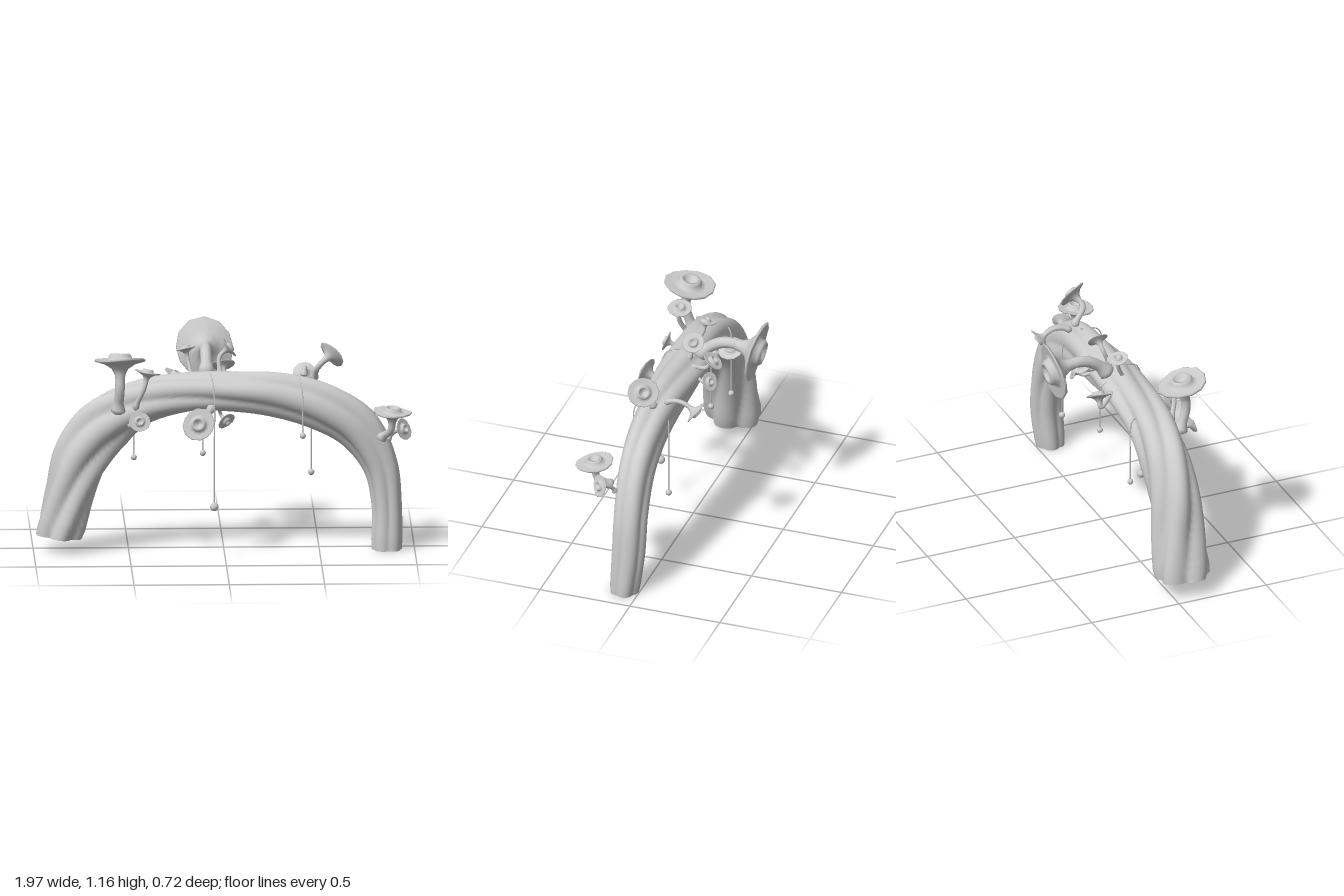
import * as THREE from 'three';

const V = (x, y, z) => new THREE.Vector3(x, y, z);
const material = new THREE.MeshStandardMaterial({ color: 0xcccccc, side: THREE.DoubleSide });

function mesh(geometry, name) {
  const m = new THREE.Mesh(geometry, material);
  m.name = name;
  return m;
}

// Smooth skin over closed rings of points, with flat caps on both ends
function loft(rings) {
  const n = rings[0].length, pos = [], idx = [];
  const add = (p) => pos.push(p.x, p.y, p.z) / 3 - 1;
  rings.forEach((r) => r.forEach(add));
  for (let i = 0; i < rings.length - 1; i++) {
    for (let j = 0; j < n; j++) {
      const k = (j + 1) % n, a = i * n, b = a + n;
      idx.push(a + j, a + k, b + j, b + j, a + k, b + k);
    }
  }
  [[rings[0], true], [rings[rings.length - 1], false]].forEach(([ring, start]) => {
    const c = ring.reduce((s, p) => s.add(p), V(0, 0, 0)).divideScalar(n);
    const ci = add(c), first = pos.length / 3;
    ring.forEach(add);
    for (let j = 0; j < n; j++) {
      const k = (j + 1) % n;
      idx.push(ci, first + (start ? k : j), first + (start ? j : k));
    }
  });
  const g = new THREE.BufferGeometry();
  g.setAttribute('position', new THREE.Float32BufferAttribute(pos, 3));
  g.setIndex(idx);
  g.computeVertexNormals();
  return g;
}

// Arched trunk: centre x, y, z, then half thickness, half depth, groove depth
const stations = [
  [-0.87, 0.09, 0.08, 0.128, 0.157, 0.24], [-0.81, 0.32, 0.08, 0.13, 0.145, 0.25],
  [-0.74, 0.52, 0.08, 0.15, 0.133, 0.25], [-0.63, 0.68, 0.08, 0.152, 0.128, 0.24],
  [-0.46, 0.79, 0.08, 0.12, 0.123, 0.22], [-0.2, 0.845, 0.07, 0.105, 0.12, 0.2],
  [0.05, 0.85, 0.07, 0.105, 0.12, 0.18], [0.3, 0.83, 0.07, 0.12, 0.105, 0.18],
  [0.52, 0.77, 0.075, 0.128, 0.1, 0.18], [0.7, 0.66, 0.07, 0.123, 0.095, 0.18],
  [0.82, 0.46, 0.06, 0.094, 0.09, 0.18], [0.855, 0.25, 0.06, 0.08, 0.089, 0.18],
  [0.855, 0.005, 0.08, 0.083, 0.078, 0.16],
];

function trunk() {
  const path = new THREE.CatmullRomCurve3(stations.map((s) => V(s[0], s[1], s[2])));
  const size = new THREE.CatmullRomCurve3(stations.map((s) => V(s[3], s[4], s[5])));
  const rings = [], steps = 60, sides = 60;
  for (let i = 0; i <= steps; i++) {
    const t = i / steps, c = path.getPoint(t), s = size.getPoint(t), tan = path.getTangent(t);
    // The left foot is cut nearly level
    const normal = V(-tan.y, tan.x * Math.min(1, 0.45 + t * 8), 0).normalize();
    const twist = 0.4 + 5.5 * t - 2.5 * t * t;
    const shrink = i === 0 || i === steps ? 0.95 : 1;
    const ring = [];
    for (let j = 0; j < sides; j++) {
      const a = (j / sides) * Math.PI * 2;
      const r = shrink * (1.03 - s.z + s.z * Math.abs(Math.cos(2.5 * (a - twist))));
      ring.push(c.clone().addScaledVector(normal, Math.cos(a) * r * s.x).add(V(0, 0, Math.sin(a) * r * s.y)));
    }
    rings.push(ring);
  }
  return mesh(loft(rings), 'twistedTrunk');
}

// Trumpet head, unit rim radius, opening along +y, with a hollow raised centre
const capProfile = [
  [0.18, -0.8], [0.21, -0.55], [0.32, -0.33], [0.6, -0.15], [0.97, -0.05], [1, 0.02], [0.95, 0.05],
  [0.65, -0.01], [0.48, 0.02], [0.45, 0.17], [0.38, 0.26], [0.28, 0.25], [0.2, 0.06], [0, 0],
].map((p) => new THREE.Vector2(...p));

function trumpet(base, centre, direction, radius, index) {
  const group = new THREE.Group();
  group.name = 'trumpetFlower';
  const dir = V(...direction).normalize(), top = V(...centre), foot = V(...base);

  const head = new THREE.LatheGeometry(capProfile, 12);
  const p = head.attributes.position;
  for (let i = 0; i < p.count; i++) {
    const x = p.getX(i), z = p.getZ(i), r = Math.hypot(x, z);
    const wave = 0.05 * r * r * Math.sin(2 * Math.atan2(z, x) + index);
    p.setXYZ(i, x * (1 + wave), p.getY(i) + wave, z * (1 + wave));
  }
  const cap = mesh(head, 'flowerHead');
  cap.scale.setScalar(radius);
  cap.position.copy(top);
  cap.quaternion.setFromUnitVectors(V(0, 1, 0), dir);

  // Curved stem, swollen at the foot
  const neck = top.clone().addScaledVector(dir, -0.75 * radius);
  const len = neck.distanceTo(foot);
  const rise = foot.clone().lerp(neck, 0.2).add(V(0, 0.15 * len, 0));
  const curve = new THREE.CubicBezierCurve3(foot, rise, neck.clone().addScaledVector(dir, -0.4 * len), neck);
  const steps = 12, frames = curve.computeFrenetFrames(steps), rings = [];
  for (let i = 0; i <= steps; i++) {
    const t = i / steps, c = curve.getPointAt(t), ring = [];
    const bulge = i === 0 ? 0.7 : 1 + 0.7 * Math.max(0, 1 - t * 3);
    for (let j = 0; j < 10; j++) {
      const a = (j / 10) * Math.PI * 2, r = 0.19 * radius * bulge;
      ring.push(c.clone().addScaledVector(frames.normals[i], r * Math.cos(a))
        .addScaledVector(frames.binormals[i], r * Math.sin(a)));
    }
    rings.push(ring);
  }
  group.add(cap, mesh(loft(rings), 'flowerStem'));
  return group;
}

// Foot, head centre, facing, rim radius
const flowers = [
  [[-0.56, 0.76, 0.2], [-0.55, 1.05, 0.215], [0, 1, -0.2], 0.135],
  [[-0.47, 0.78, 0.19], [-0.405, 0.985, 0.22], [0.2, 1, -0.15], 0.066],
  [[-0.5, 0.69, 0.19], [-0.45, 0.74, 0.31], [0.1, 0.35, 1], 0.055],
  [[-0.06, 0.79, 0.18], [-0.14, 0.725, 0.315], [-0.15, 0.3, 1], 0.085],
  [[-0.09, 0.92, 0.0], [-0.09, 1.01, -0.32], [0, -0.18, -1], 0.157],
  [[-0.17, 0.92, 0.05], [-0.2, 1.07, 0.0], [-0.2, 1, -0.15], 0.055],
  [[-0.02, 0.93, 0.03], [0.03, 1.07, -0.01], [0.8, 0.6, -0.1], 0.058],
  [[-0.2, 0.87, -0.03], [-0.24, 0.9, -0.125], [0.4, 0.8, 0.05], 0.07],
  [[0.02, 0.91, 0.0], [0.0, 0.96, -0.11], [-0.1, 0.8, -0.6], 0.062],
  [[0.04, 0.87, -0.02], [0.08, 0.88, -0.12], [0.4, 0.5, -0.8], 0.05],
  [[-0.03, 0.77, 0.08], [0.012, 0.695, 0.08], [0.55, -0.5, 0.65], 0.05],
  [[0.42, 0.92, 0.01], [0.43, 0.9, -0.165], [0, -0.6, -0.8], 0.065],
  [[0.47, 0.91, 0.05], [0.565, 1.05, 0.08], [0.7, 0.5, -0.45], 0.082],
  [[0.82, 0.61, 0.17], [0.88, 0.77, 0.24], [0.05, 1, 0.1], 0.1],
  [[0.86, 0.6, 0.13], [0.94, 0.67, 0.19], [0.75, 0.3, 0.6], 0.058],
];

// Hanging strands: x, z, bead y, bead radius, then y and z of the start on the trunk
const strands = [
  [-0.47, -0.045, 0.48, 0.016, 0.87, -0.02], [-0.115, 0.2, 0.55, 0.016, 0.78, 0.17],
  [-0.11, -0.06, 0.61, 0.016, 0.9, -0.03], [-0.055, 0.2, 0.26, 0.022, 0.955, 0.05],
  [0.41, 0.185, 0.635, 0.016, 0.935, 0.05], [0.46, -0.025, 0.4, 0.017, 0.86, 0.0],
];

function strand([x, z, beadY, radius, startY, startZ]) {
  const group = new THREE.Group();
  group.name = 'hangingStrand';
  const path = new THREE.CatmullRomCurve3([
    V(x - 0.02, startY, startZ), V(x - 0.01, startY - 0.025, startZ + (z - startZ) * 0.75),
    V(x, startY - 0.1, z), V(x, (startY + beadY) / 2 - 0.06, z), V(x, beadY, z)]);
  const bead = mesh(new THREE.SphereGeometry(radius, 14, 10), 'bead');
  bead.position.set(x, beadY, z);
  group.add(mesh(new THREE.TubeGeometry(path, 24, 0.0035, 6), 'thread'), bead);
  return group;
}

export function createModel() {
  const model = new THREE.Group();
  model.name = 'floweringArch';
  model.add(trunk());
  flowers.forEach((f, i) => model.add(trumpet(...f, i)));
  strands.forEach((s) => model.add(strand(s)));
  return model;
}
